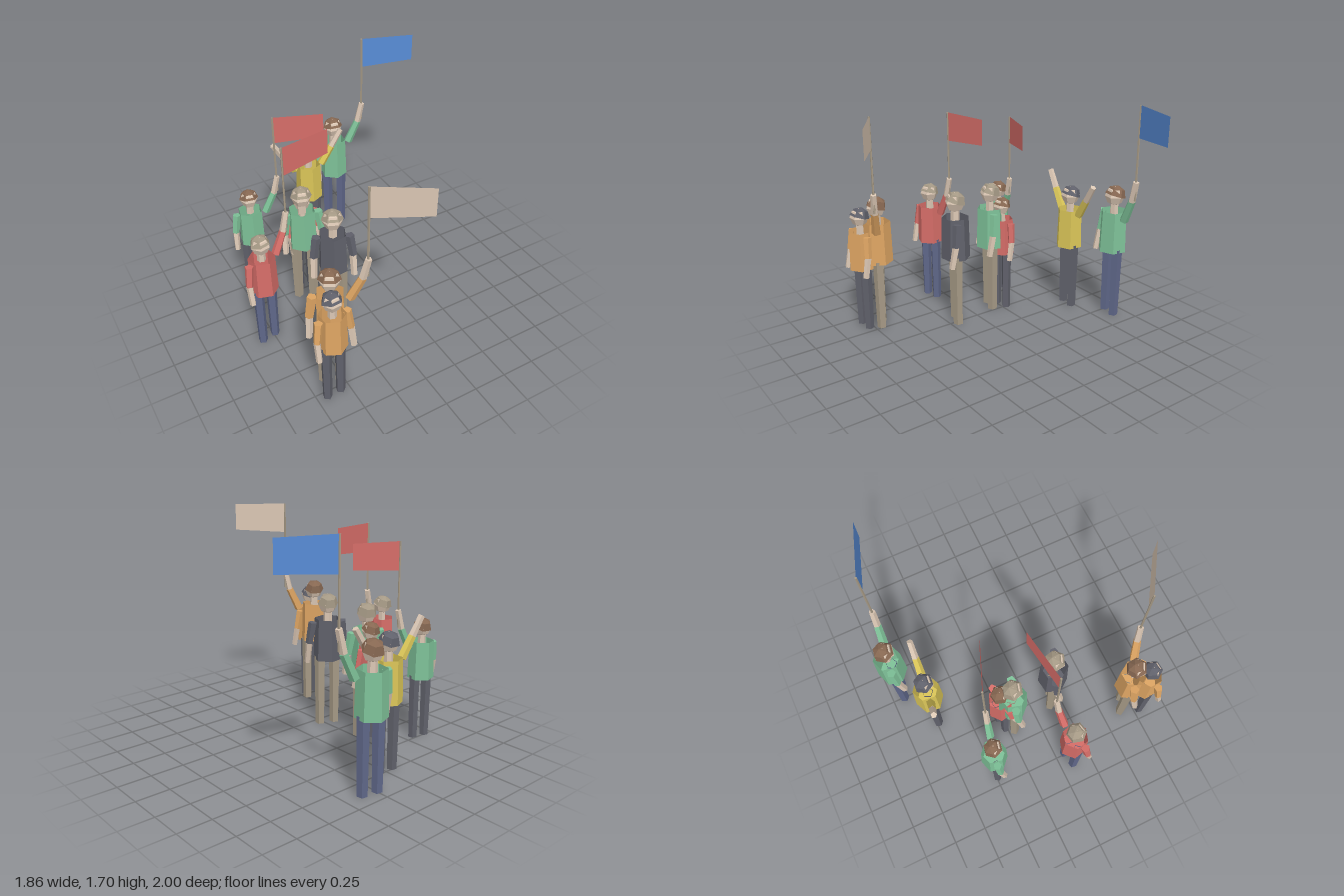
import * as THREE from 'three';
import { mergeGeometries } from 'three/addons/utils/BufferGeometryUtils.js';

// Open sleeves, torsos and flags need both sides
const material = (name, color) =>
  Object.assign(new THREE.MeshStandardMaterial({ color, side: THREE.DoubleSide }), { name });
const M = {
  skin: material('skin', 0xdac6b3),
  green: material('green', 0x7ec198),
  yellow: material('yellow', 0xdac558),
  red: material('red', 0xd56d68),
  orange: material('orange', 0xdea563),
  charcoal: material('charcoal', 0x60616b),
  navy: material('navy', 0x5f6789),
  taupe: material('taupe', 0xa59985),
  brown: material('brown', 0x876852),
  blue: material('blue', 0x588cd6),
};

// Faceted normals
function facet(geometry) {
  const g = geometry.index ? geometry.toNonIndexed() : geometry;
  g.computeVertexNormals();
  return g;
}

function add(group, name, geometry, mat) {
  const mesh = new THREE.Mesh(facet(geometry), mat);
  mesh.name = name;
  group.add(mesh);
}

// Tapered prism from a to b, closed only at the b end
function limb(a, b, ra, rb, sides) {
  const start = new THREE.Vector3(...a), end = new THREE.Vector3(...b);
  const axis = end.clone().sub(start), length = axis.length();
  const wall = new THREE.CylinderGeometry(rb, ra, length, sides, 1, true);
  const cap = new THREE.CircleGeometry(rb, sides).rotateX(-Math.PI / 2).rotateY(-Math.PI / 2);
  cap.translate(0, length / 2, 0);
  const turn = new THREE.Quaternion().setFromUnitVectors(new THREE.Vector3(0, 1, 0), axis.normalize());
  const middle = start.add(end).multiplyScalar(0.5);
  return mergeGeometries([wall, cap]).applyQuaternion(turn).translate(middle.x, middle.y, middle.z);
}

// Shoulder, elbow and hand for each pose, on the +x side
const POSES = {
  down: [[0.112, 0.79, 0.005], [0.135, 0.63, 0.02], [0.14, 0.475, 0.05]],
  flag: [[0.124, 0.772, 0], [0.202, 0.938, 0], [0.237, 1.09, 0]],
  wave: [[0.112, 0.79, 0], [0.202, 0.93, 0], [0.282, 1.06, 0]],
};

function addArm(person, side, pose, shirt) {
  const [shoulder, elbow, hand] = POSES[pose].map(([x, y, z]) => [side * x, y, z]);
  const label = side > 0 ? 'left' : 'right';
  add(person, label + 'Sleeve', limb(elbow, shoulder, 0.028, 0.033, 5), shirt);
  add(person, label + 'Forearm', limb(elbow, hand, 0.026, 0.023, 5), M.skin);
}

// A person one unit tall, facing +z
function createPerson({ shirt, trousers, hair, right = 'down', left = 'down' }) {
  const person = new THREE.Group();
  add(person, 'torso', limb([0, 0.815, 0], [0, 0.507, 0], 0.097, 0.105, 6), M[shirt]);
  for (const side of [-1, 1]) {
    const x = side * 0.057;
    add(person, side > 0 ? 'leftLeg' : 'rightLeg',
      limb([x, 0.53, 0], [x * 0.98, 0, 0], 0.042, 0.035, 5), M[trousers]);
  }
  addArm(person, -1, right, M[shirt]);
  addArm(person, 1, left, M[shirt]);
  add(person, 'neck', limb([0, 0.79, 0], [0, 0.87, 0], 0.032, 0.03, 6), M.skin);
  add(person, 'head', new THREE.SphereGeometry(0.073, 6, 4).translate(0, 0.924, 0), M.skin);

  // Hair dome, tipped back off the face
  const dome = new THREE.SphereGeometry(0.077, 6, 2, 0, Math.PI * 2, 0, Math.PI / 2);
  add(person, 'hair', dome.rotateX(-0.32).translate(0, 0.926, -0.002), M[hair]);
  return person;
}

// Pole held in the raised left hand, with a tapering cloth
function addFlag(person, color, angle) {
  const flag = new THREE.Group();
  flag.name = 'flag';
  add(flag, 'pole', new THREE.CylinderGeometry(0.008, 0.008, 0.67, 5).translate(0, 0.335, 0), M.taupe);
  const outline = new THREE.Shape([[0, 0.67], [0, 0.446], [0.383, 0.473], [0.383, 0.67]]
    .map(([x, y]) => new THREE.Vector2(x, y)));
  add(flag, 'cloth', new THREE.ShapeGeometry(outline), M[color]);
  flag.position.set(0.235, 0.953, 0);
  flag.rotation.y = angle;
  person.add(flag);
}

// Position, height and turn of everyone; fly is the flag's angle in the world
const CROWD = [
  { x: 0.304, z: -0.895, s: 1.05, turn: -0.17, shirt: 'green', trousers: 'navy', hair: 'brown', left: 'flag', flag: 'blue', fly: -0.33 },
  { x: -0.013, z: -0.73, s: 1.0, turn: -0.1, shirt: 'yellow', trousers: 'charcoal', hair: 'charcoal', left: 'wave', right: 'wave' },
  { x: -0.63, z: -0.48, s: 0.93, turn: -0.21, shirt: 'green', trousers: 'charcoal', hair: 'brown', left: 'flag', flag: 'red', fly: -0.375 },
  { x: -0.30, z: -0.275, s: 0.915, turn: 0.17, shirt: 'red', trousers: 'charcoal', hair: 'brown' },
  { x: -0.34, z: -0.19, s: 1.035, turn: -0.29, shirt: 'green', trousers: 'taupe', hair: 'taupe' },
  { x: -0.79, z: 0.085, s: 0.97, turn: 0.22, shirt: 'red', trousers: 'navy', hair: 'taupe', left: 'flag', flag: 'red', fly: 0.16 },
  { x: -0.28, z: 0.17, s: 1.05, turn: -0.4, shirt: 'charcoal', trousers: 'taupe', hair: 'taupe' },
  { x: -0.573, z: 0.67, s: 1.03, turn: -0.5, shirt: 'orange', trousers: 'taupe', hair: 'brown', left: 'flag', flag: 'skin', fly: -0.567 },
  { x: -0.62, z: 0.785, s: 0.955, turn: 0.07, shirt: 'orange', trousers: 'charcoal', hair: 'charcoal' },
];

export function createModel() {
  const model = new THREE.Group();
  model.name = 'crowd';
  CROWD.forEach((spec, i) => {
    const person = createPerson(spec);
    person.name = 'person' + (i + 1);
    if (spec.flag) addFlag(person, spec.flag, spec.fly - spec.turn);
    person.position.set(spec.x, 0, spec.z);
    person.rotation.y = spec.turn;
    person.scale.setScalar(spec.s);
    model.add(person);
  });
  return model;
}
